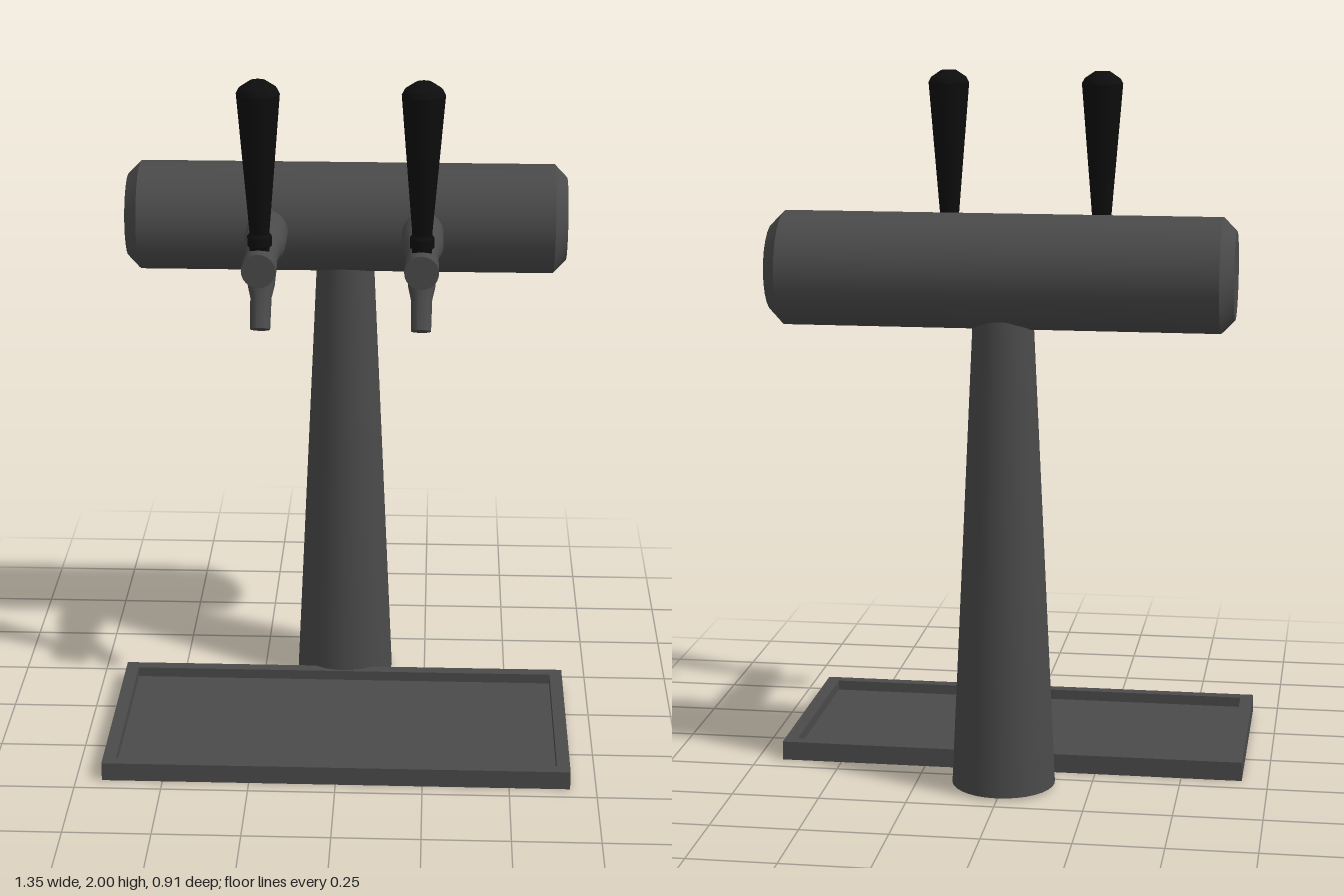
import * as THREE from 'three';
import { toCreasedNormals } from 'three/addons/utils/BufferGeometryUtils.js';

const metal = new THREE.MeshStandardMaterial({ color: 0x4a4a4a });
const black = new THREE.MeshStandardMaterial({ color: 0x0d0d0d });

// Turned part: profile of [radius, height] pairs, listed upwards
function turned(name, profile, sides, material = metal) {
  const points = profile.map(([r, y]) => new THREE.Vector2(r, y));
  const geometry = toCreasedNormals(new THREE.LatheGeometry(points, sides), 0.45);
  const mesh = new THREE.Mesh(geometry, material);
  mesh.name = name;
  return mesh;
}

function rectangle(target, x, y0, y1) {
  target.moveTo(-x, y0);
  target.lineTo(x, y0);
  target.lineTo(x, y1);
  target.lineTo(-x, y1);
  target.closePath();
  return target;
}

// Drip tray: a raised rim around a recessed floor
function createTray() {
  const tray = new THREE.Group();
  tray.name = 'dripTray';
  const outline = rectangle(new THREE.Shape(), 0.675, -0.455, 0.19);
  outline.holes.push(rectangle(new THREE.Path(), 0.637, -0.42, 0.155));
  const rimGeometry = new THREE.ExtrudeGeometry(outline, { depth: 0.055, bevelEnabled: false });
  rimGeometry.rotateX(-Math.PI / 2);
  const rim = new THREE.Mesh(rimGeometry, metal);
  rim.name = 'trayRim';
  const floor = new THREE.Mesh(new THREE.BoxGeometry(1.274, 0.025, 0.575), metal);
  floor.name = 'trayFloor';
  floor.position.set(0, 0.0125, 0.1325);
  tray.add(rim, floor);
  return tray;
}

// Tap: horizontal body, angled spout and flared handle
function createTap(x) {
  const tap = new THREE.Group();
  tap.name = x > 0 ? 'leftTap' : 'rightTap';

  const body = turned('tapBody', [
    [0, -0.2], [0.06, -0.2], [0.06, -0.01], [0.057, 0.01], [0.049, 0.045],
    [0.043, 0.17], [0.048, 0.172], [0.048, 0.243], [0, 0.243],
  ], 24);
  body.rotation.x = Math.PI / 2;
  body.position.y = 1.48;

  const spout = turned('spout', [
    [0, 0], [0.028, 0], [0.03, 0.09], [0.038, 0.125], [0.044, 0.19], [0, 0.19],
  ], 20);
  spout.position.set(0, 1.293, 0.19);
  spout.rotation.x = -0.48;

  const collar = turned('handleCollar', [
    [0, 1.48], [0.028, 1.48], [0.028, 1.53], [0.034, 1.535], [0.034, 1.562], [0.026, 1.572], [0, 1.572],
  ], 20, black);
  collar.position.z = 0.175;

  const handle = turned('handle', [
    [0, 1.565], [0.027, 1.565], [0.06, 1.965], [0.052, 1.98], [0.022, 2], [0, 2],
  ], 16, black);
  handle.position.z = 0.175;

  tap.add(body, spout, collar, handle);
  tap.position.x = x;
  return tap;
}

export function createModel() {
  const model = new THREE.Group();
  model.name = 'tapTower';
  model.add(createTray());

  // Tapered column, standing behind the tray
  const column = turned('column', [[0, 0.008], [0.147, 0.008], [0.082, 1.4], [0, 1.4]], 32);
  column.position.z = -0.306;
  model.add(column);

  // Horizontal barrel with chamfered ends
  const barrel = turned('crossBarrel', [
    [0, -0.645], [0.122, -0.645], [0.16, -0.608], [0.16, 0.608], [0.122, 0.645], [0, 0.645],
  ], 24);
  barrel.rotation.z = -Math.PI / 2;
  barrel.position.set(0.005, 1.48, -0.295);
  model.add(barrel);

  for (const side of [-1, 1]) model.add(createTap(0.005 + side * 0.225));
  return model;
}
